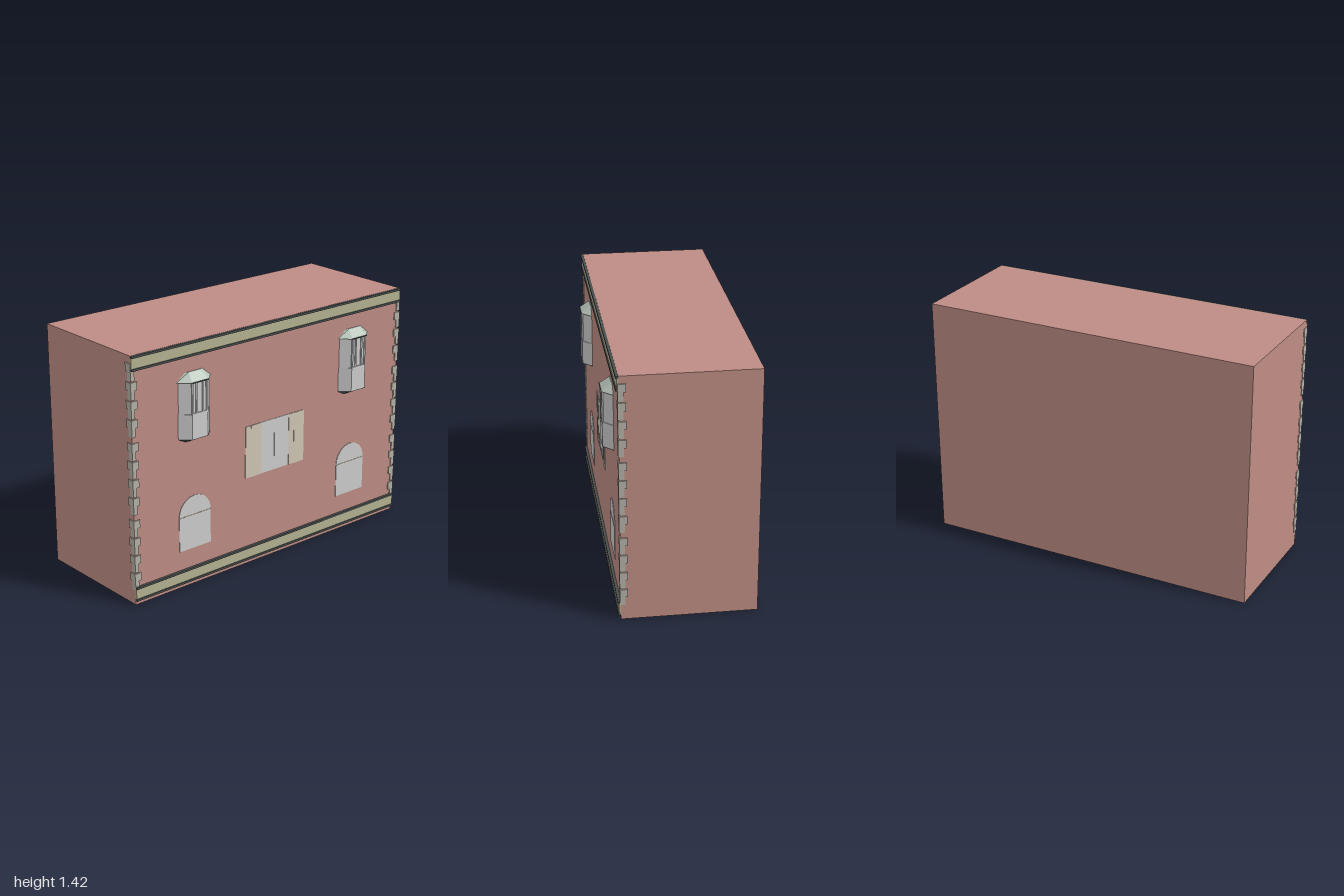
import * as THREE from 'three';

const WALL = 0.345; // z of the front wall
const mat = (color) => new THREE.MeshStandardMaterial({ color, flatShading: true, side: THREE.DoubleSide });

export function createModel() {
  const model = new THREE.Group();
  const brick = mat(0xbd8c84), band = mat(0xb2b18f), trim = mat(0x484e4d);
  const stone = mat(0xb2b0a5), grey = mat(0xcccccc), curtain = mat(0xcec5b3), roofing = mat(0xb6c2b8);

  // box given by its min and max corners
  const box = (parent, name, m, x0, x1, y0, y1, z0, z1) => {
    const mesh = new THREE.Mesh(new THREE.BoxGeometry(x1 - x0, y1 - y0, z1 - z0), m);
    mesh.position.set((x0 + x1) / 2, (y0 + y1) / 2, (z0 + z1) / 2);
    mesh.name = name;
    parent.add(mesh);
    return mesh;
  };
  const group = (name) => {
    const g = new THREE.Group();
    g.name = name;
    model.add(g);
    return g;
  };

  box(model, 'building', brick, -0.995, 0.992, 0, 1.424, -0.405, WALL);

  // cornice and plinth: a pale band between two dark mouldings
  for (const [name, y] of [['plinth', 0.025], ['cornice', 1.341]]) {
    const g = group(name);
    box(g, 'band', band, -0.996, 0.993, y + 0.01, y + 0.072, WALL, 0.355);
    for (const ty of [y, y + 0.07])
      box(g, 'moulding', trim, -0.997, 0.994, ty, ty + 0.012, WALL, 0.361);
  }

  // corner stones: three stacks of four long stones joined by short ones
  for (const s of [-1, 1]) {
    const g = group(s > 0 ? 'leftQuoins' : 'rightQuoins');
    const add = (name, w, d, y0, y1, out) => {
      const a = s * (1 - w), b = s * out;
      box(g, name, stone, Math.min(a, b), Math.max(a, b), y0, y1, WALL - d, 0.351);
    };
    for (let k = 0; k < 3; k++) {
      const y = 0.09 + k * 0.442;
      for (let i = 0; i < 4; i++) {
        const yi = y + i * 0.104;
        add('shortStone', 0.026, 0.025, yi, yi + 0.05, 0.998);
        add('longStone', 0.042, 0.038, yi + 0.05, yi + 0.096, 1);
      }
    }
  }

  // solid between two horizontal trapezoid sections [y, back half width, front half width, front z]
  const bayLoft = (sections) => {
    const rings = sections.map(([y, wb, wf, z]) => [[-wb, y, WALL], [-wf, y, z], [wf, y, z], [wb, y, WALL]]);
    const pos = [];
    const quad = (a, b, c, d) => pos.push(...a, ...b, ...c, ...a, ...c, ...d);
    const [lo, hi] = rings;
    for (let i = 0; i < 3; i++) quad(lo[i], lo[i + 1], hi[i + 1], hi[i]);
    quad(lo[3], lo[2], lo[1], lo[0]);
    quad(hi[0], hi[1], hi[2], hi[3]);
    const geo = new THREE.BufferGeometry();
    geo.setAttribute('position', new THREE.Float32BufferAttribute(pos, 3));
    geo.computeVertexNormals();
    return geo;
  };

  // bay windows of the upper floor
  const bays = [
    ['base', trim, [[0.86, 0.06, 0.035, WALL + 0.004], [0.886, 0.113, 0.056, 0.401]]],
    ['apron', grey, [[0.886, 0.109, 0.054, 0.4], [1.03, 0.109, 0.054, 0.4]]],
    ['glazing', grey, [[1.03, 0.106, 0.052, 0.394], [1.21, 0.106, 0.052, 0.394]]],
    ['roof', roofing, [[1.208, 0.117, 0.058, 0.405], [1.254, 0.06, 0.035, WALL + 0.004]]],
  ];
  for (const [name, x] of [['rightBayWindow', -0.577], ['leftBayWindow', 0.616]]) {
    const g = group(name);
    g.position.x = x;
    for (const [part, m, sections] of bays) {
      const mesh = new THREE.Mesh(bayLoft(sections), m);
      mesh.name = part;
      g.add(mesh);
    }
    box(g, 'eaves', trim, -0.058, 0.058, 1.205, 1.211, 0.39, 0.405);
    for (const mx of [-0.049, -0.022, 0.022, 0.049])
      box(g, 'mullion', grey, mx - 0.005, mx + 0.005, 1.03, 1.208, 0.39, 0.4);
    box(g, 'sill', grey, -0.055, 0.055, 1.022, 1.034, 0.39, 0.401);
  }

  // arched windows of the ground floor
  const arch = new THREE.Shape();
  arch.moveTo(-0.111, 0.22).lineTo(0.111, 0.22).lineTo(0.111, 0.424);
  arch.absarc(0, 0.424, 0.111, 0, Math.PI, false);
  arch.closePath();
  const archGeo = new THREE.ExtrudeGeometry(arch, { depth: 0.004, bevelEnabled: false, curveSegments: 10 });
  for (const [name, x] of [['rightArchedWindow', -0.577], ['leftArchedWindow', 0.617]]) {
    const g = group(name);
    g.position.x = x;
    const pane = new THREE.Mesh(archGeo, grey);
    pane.name = 'pane';
    pane.position.z = WALL - 0.001;
    g.add(pane);
    box(g, 'transom', curtain, -0.111, 0.111, 0.417, 0.423, WALL, 0.35);
  }

  // wide middle window with curtains drawn to the sides
  const g = group('middleWindow');
  g.position.x = 0.013;
  box(g, 'pane', grey, -0.222, 0.222, 0.53, 0.84, WALL - 0.002, 0.347);
  box(g, 'centreBar', grey, -0.006, 0.006, 0.53, 0.84, WALL, 0.349);
  for (const s of [-1, 1])
    for (let i = 0; i < 3; i++) {
      const x = s * (0.124 + i * 0.039);
      box(g, 'curtainFold', curtain, x - 0.0195, x + 0.0195, 0.53, 0.84, WALL, i === 1 ? 0.35 : 0.3485);
    }
  return model;
}
